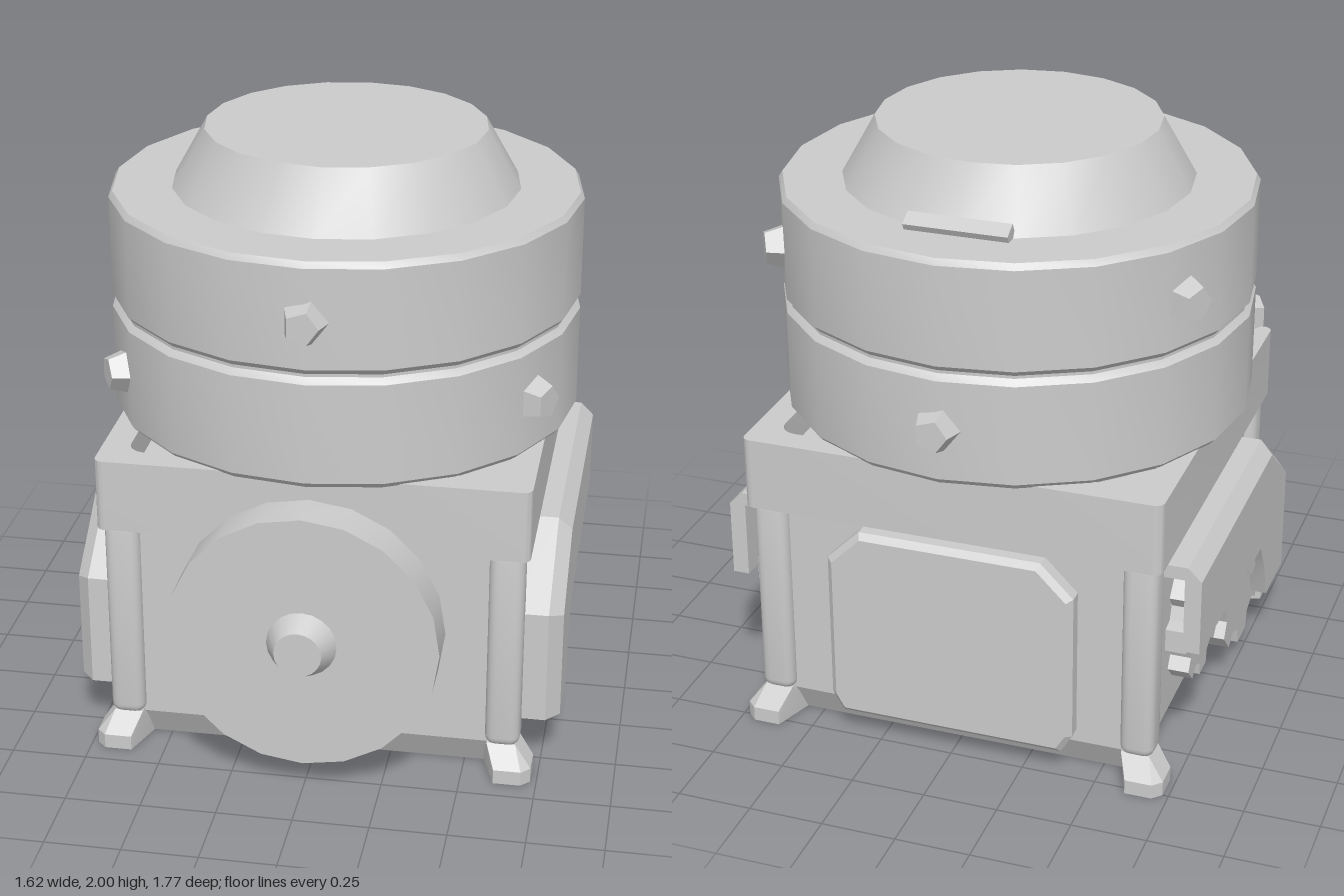
import * as THREE from 'three';
import { toCreasedNormals } from 'three/addons/utils/BufferGeometryUtils.js';
import { RoundedBoxGeometry } from 'three/addons/geometries/RoundedBoxGeometry.js';
import { ConvexGeometry } from 'three/addons/geometries/ConvexGeometry.js';

const ZC = -0.05; // depth centre of the housing and drum

export function createModel() {
  const model = new THREE.Group();
  const material = new THREE.MeshStandardMaterial({ color: 0xcccccc });

  const add = (name, geometry, x = 0, y = 0, z = 0, crease = 0.5) => {
    const mesh = new THREE.Mesh(toCreasedNormals(geometry, crease), material);
    mesh.name = name;
    mesh.position.set(x, y, z);
    model.add(mesh);
    return mesh;
  };
  const hull = (name, pts) =>
    add(name, new ConvexGeometry(pts.map(p => new THREE.Vector3(...p))), 0, 0, 0, 0.2);
  const shapeOf = pts => new THREE.Shape(pts.map(p => new THREE.Vector2(...p)));
  const roundedSquare = (path, h, r) => {
    path.moveTo(h, r - h);
    for (let i = 0; i < 4; i++) {
      const a = i * Math.PI / 2, c = Math.cos(a), s = Math.sin(a), k = h - r;
      path.absarc(k * (c - s), k * (c + s), r, a, a + Math.PI / 2, false);
    }
    return path;
  };
  // Plate drawn in (z, y) and spanning x0..x1 on the given side
  const sidePlate = (name, pts, x0, x1, side) => {
    const g = new THREE.ExtrudeGeometry(shapeOf(pts.map(([z, y]) => [-z, y])),
      { depth: x1 - x0, bevelEnabled: false });
    g.rotateY(Math.PI / 2);
    return add(name, g, side > 0 ? x0 : -x1, 0, 0, 0.3);
  };

  // Housing with a tapered base
  add('housing', new THREE.BoxGeometry(1.3, 0.74, 1.3), 0, 0.48, ZC);
  const base = [];
  for (const sx of [-1, 1]) for (const sz of [-1, 1]) {
    base.push([sx * 0.65, 0.11, ZC + sz * 0.65], [sx * 0.59, 0, ZC + sz * 0.59]);
  }
  hull('base', base);

  // Corner pillars and splayed feet
  for (const sx of [-1, 1]) for (const sz of [-1, 1]) {
    add('cornerPillar', new RoundedBoxGeometry(0.115, 0.72, 0.115, 3, 0.035),
      sx * 0.63, 0.47, ZC + sz * 0.63);
    const foot = [];
    for (const [x, z] of [[0.58, 0.58], [0.675, 0.58], [0.58, 0.675], [0.675, 0.675]]) {
      foot.push([x, 0.12, z]);
    }
    for (const [x, z] of [[0.73, 0.61], [0.73, 0.7], [0.7, 0.73], [0.61, 0.73]]) {
      foot.push([x, 0.05, z], [x, 0, z]);
    }
    foot.push([0.55, 0, 0.55]);
    hull('foot', foot.map(([x, y, z]) => [sx * x, y, ZC + sz * z]));
  }

  // Raised rim with a recessed floor
  const rim = roundedSquare(new THREE.Shape(), 0.705, 0.03);
  rim.holes.push(roundedSquare(new THREE.Path(), 0.615, 0.06));
  const rimGeometry = new THREE.ExtrudeGeometry(rim, { depth: 0.245, bevelEnabled: false, curveSegments: 4 });
  add('rim', rimGeometry.rotateX(-Math.PI / 2), 0, 0.81, ZC);
  add('rimFloor', new THREE.BoxGeometry(1.3, 0.14, 1.3), 0, 0.88, ZC);
  add('neck', new THREE.CylinderGeometry(0.6, 0.6, 0.14, 20), 0, 1.0, ZC);

  // Two-ring drum and conical cap
  const drum = [[0, 1.05], [0.765, 1.05], [0.783, 1.07], [0.783, 1.405], [0.765, 1.425], [0.765, 1.435],
    [0.783, 1.455], [0.783, 1.785], [0.77, 1.805], [0, 1.805]];
  add('drum', new THREE.LatheGeometry(drum.map(p => new THREE.Vector2(...p)), 20), 0, 0, ZC);
  add('cap', new THREE.CylinderGeometry(0.465, 0.578, 0.2, 20), 0, 1.9, ZC);
  const latch = add('capLatch', new THREE.BoxGeometry(0.34, 0.045, 0.055), 0, 1.82, -0.615);
  latch.rotation.x = -0.5;

  // Five-sided studs around both rings
  for (let i = 0; i < 6; i++) {
    const angle = i * Math.PI / 3;
    const stud = new THREE.CylinderGeometry(0.055, 0.088, 0.1, 5);
    stud.rotateX(Math.PI / 2).rotateZ(Math.PI / 2).translate(0, 0, 0.785);
    add('stud', stud.rotateY(angle), 0, i % 2 ? 1.24 : 1.61, ZC);
  }

  // Front wheel
  const frontDisc = (name, rFront, rBack, z0, z1) => add(name,
    new THREE.CylinderGeometry(rFront, rBack, z1 - z0, 20).rotateX(Math.PI / 2), 0, 0.54, (z0 + z1) / 2);
  frontDisc('axle', 0.12, 0.12, 0.58, 0.68);
  frontDisc('wheel', 0.443, 0.443, 0.67, 0.815);
  frontDisc('wheelHub', 0.077, 0.117, 0.81, 0.885);

  // Back panel
  const panel = shapeOf([[-0.37, 0.11], [0.37, 0.11], [0.4, 0.16], [0.4, 0.66], [0.3, 0.76],
    [-0.3, 0.76], [-0.4, 0.66], [-0.4, 0.16]]);
  add('backPanel', new THREE.ExtrudeGeometry(panel,
    { depth: 0.08, bevelThickness: 0.02, bevelSize: 0.02, bevelSegments: 1 }), 0, 0, -0.745, 0.3);

  // Gears and covers on both sides
  const gear = (z, y, r, root) => {
    const pts = [];
    for (let i = 0; i < 8; i++) {
      const a = i * Math.PI / 4;
      for (const [da, rad] of [[-0.26, root], [-0.17, r], [0.17, r], [0.26, root]]) {
        pts.push([z - rad * Math.cos(a + da), y + rad * Math.sin(a + da)]);
      }
    }
    return pts;
  };
  const outer = [[0.57, 0.19], [0.57, 0.58], [0.29, 0.795], [-0.65, 0.795]];
  const inner = [[0.52, 0.19], [0.52, 0.56], [0.275, 0.75], [-0.65, 0.75]];
  const lower = [[-0.65, 0.49], [0.17, 0.435], [0.235, 0.33], [0.29, 0.19]];
  for (const side of [-1, 1]) {
    sidePlate('largeGear', gear(0.19, 0.38, 0.32, 0.265), 0.68, 0.75, side);
    sidePlate('smallGear', gear(-0.36, 0.48, 0.23, 0.185), 0.68, 0.75, side);
    for (const [z, y] of [[0.19, 0.38], [-0.36, 0.51]]) {
      add('gearHub', new THREE.CylinderGeometry(0.06, 0.06, 0.14, 8).rotateZ(Math.PI / 2), side * 0.71, y, z);
    }
    sidePlate('gearCover', [...inner, ...lower], 0.755, 0.81, side);
    // Chamfered edge that folds back to the housing
    for (let i = 0; i < 3; i++) {
      const pts = [];
      for (const k of [i, i + 1]) {
        for (const [x, [z, y]] of [[0.64, outer[k]], [0.765, outer[k]], [0.81, inner[k]], [0.64, inner[k]]]) {
          pts.push([side * x, y, z]);
        }
      }
      hull('gearCoverEdge', pts);
    }
  }
  return model;
}
